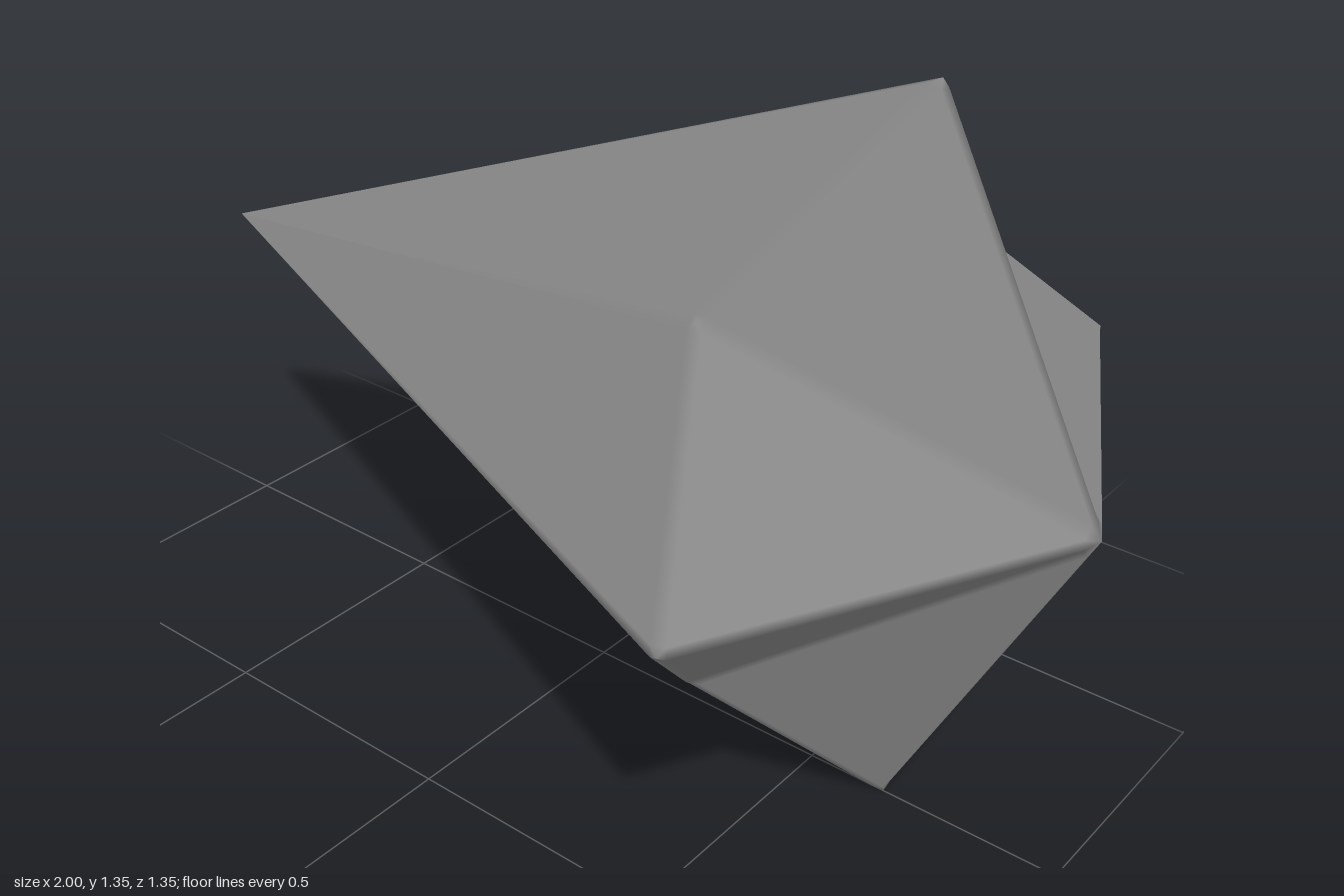
import * as THREE from 'three';

const V = (x, y, z) => new THREE.Vector3(x, y, z);

// Closed solid from corner points and triangles, with every edge and corner softly bevelled.
function bevelledSolid(points, bevels, faces, inside) {
  const pos = [], nor = [];
  const tri = (...c) => {
    const [a, b, d] = c.map(k => k.p);
    const n = b.clone().sub(a).cross(d.clone().sub(a));
    const want = c[0].n.clone().add(c[1].n).add(c[2].n);
    if (n.dot(want) < 0) c.reverse();
    for (const k of c) { pos.push(...k.p.toArray()); nor.push(...k.n.toArray()); }
  };

  const edges = new Map();
  const rings = points.map(() => []);
  for (const f of faces) {
    const [a, b, c] = f.map(i => points[i]);
    const n = b.clone().sub(a).cross(c.clone().sub(a)).normalize();
    if (n.dot(a.clone().sub(inside)) < 0) n.negate();
    // inset flat face
    const inset = f.map((i, k) => {
      const p = points[i].clone();
      for (const j of [1, 2]) {
        const dir = points[f[(k + j) % 3]].clone().sub(points[i]).normalize();
        p.addScaledVector(dir, bevels[i]);
      }
      const corner = { p, n };
      rings[i].push(corner);
      return corner;
    });
    tri(...inset);
    for (let k = 0; k < 3; k++) {
      const i = f[k], j = f[(k + 1) % 3], key = Math.min(i, j) + '-' + Math.max(i, j);
      if (!edges.has(key)) edges.set(key, []);
      edges.get(key).push({ [i]: inset[k], [j]: inset[(k + 1) % 3] });
    }
  }

  // rounded cap centre at each corner
  const caps = rings.map((ring, i) => {
    const p = V(0, 0, 0), n = V(0, 0, 0);
    for (const r of ring) { p.addScaledVector(r.p, 1 / ring.length); n.add(r.n); }
    return { p: p.lerp(points[i], 0.6), n: n.normalize() };
  });

  // bevel strip along each edge, plus its share of the two caps
  for (const [key, [f, g]] of edges) {
    const [i, j] = key.split('-');
    tri(f[i], f[j], g[j]);
    tri(f[i], g[j], g[i]);
    tri(f[i], g[i], caps[i]);
    tri(f[j], g[j], caps[j]);
  }

  const geo = new THREE.BufferGeometry();
  geo.setAttribute('position', new THREE.Float32BufferAttribute(pos, 3));
  geo.setAttribute('normal', new THREE.Float32BufferAttribute(nor, 3));
  return geo;
}

export function createModel() {
  const group = new THREE.Group();
  group.name = 'arrowhead';

  // long sharp tip, short rear apex, four fin corners and four notches between them
  const points = [V(-1, 0, 0), V(1.01, 0, 0)];
  const bevels = [0.002, 0.022];
  const ringPoint = (angle, x, r, bevel) => {
    points.push(V(x, r * Math.cos(angle), r * Math.sin(angle)));
    bevels.push(bevel);
  };
  for (let k = 0; k < 4; k++) ringPoint(k * Math.PI / 2, 0.659, 0.685, 0.017);
  for (let k = 0; k < 4; k++) ringPoint((k + 0.5) * Math.PI / 2, 0.455, 0.477, 0.015);

  const faces = [];
  for (let k = 0; k < 4; k++) {
    const fin = 2 + k, next = 2 + (k + 1) % 4, notch = 6 + k;
    for (const end of [0, 1]) faces.push([end, fin, notch], [end, notch, next]);
  }

  const body = new THREE.Mesh(
    bevelledSolid(points, bevels, faces, V(0.2, 0, 0)),
    new THREE.MeshStandardMaterial({ color: 0x888888 })
  );
  body.name = 'arrowheadBody';
  body.position.y = 0.675;
  group.add(body);
  return group;
}
